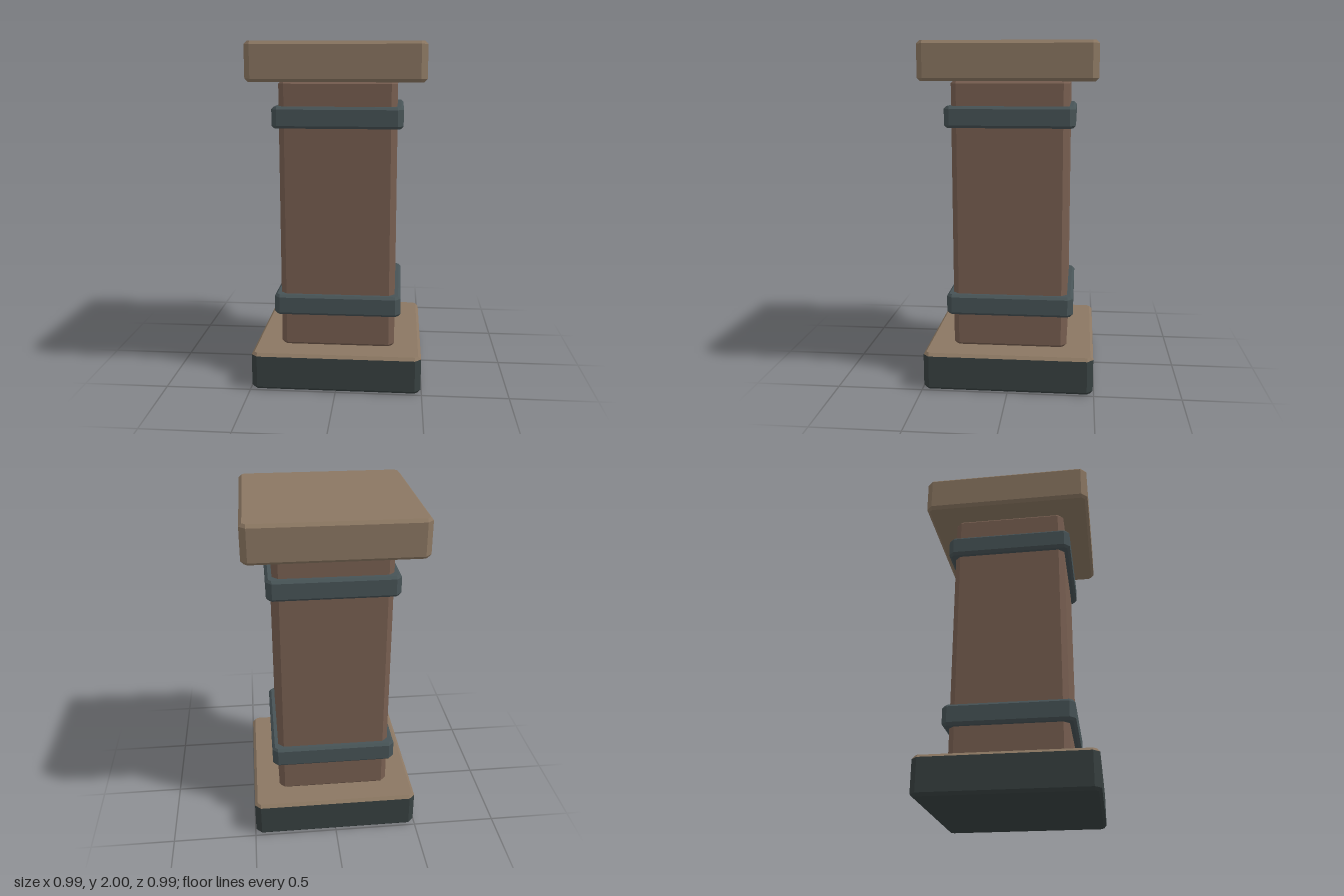
import * as THREE from 'three';

const BEVEL = 0.017;

// Square outline with cut corners; c is where each corner cut starts
function outline(h, c, y) {
  return [[c, h], [h, c], [h, -c], [c, -h], [-c, -h], [-h, -c], [-h, c], [-c, h]]
    .map(([x, z]) => [x, y, z]);
}

// Stack of outlines joined by flat walls, optionally closed below and above
function loft(rings, closeBottom, closeTop) {
  const pos = [];
  const tri = (a, b, c) => pos.push(...a, ...b, ...c);
  for (let r = 0; r < rings.length - 1; r++) {
    const lo = rings[r], hi = rings[r + 1];
    for (let i = 0; i < 8; i++) {
      const j = (i + 1) % 8;
      tri(lo[i], lo[j], hi[j]);
      tri(lo[i], hi[j], hi[i]);
    }
  }
  const bottom = rings[0], top = rings[rings.length - 1];
  for (let i = 1; i < 7; i++) {
    if (closeBottom) tri(bottom[0], bottom[i + 1], bottom[i]);
    if (closeTop) tri(top[0], top[i], top[i + 1]);
  }
  const geo = new THREE.BufferGeometry();
  geo.setAttribute('position', new THREE.Float32BufferAttribute(pos, 3));
  geo.computeVertexNormals();
  return geo;
}

// Four outlines of a block bevelled along every edge
function blockRings(half, cut, y0, y1, bevel = BEVEL) {
  const c = half - cut;
  return [
    outline(half - bevel, c, y0),
    outline(half, c, y0 + bevel),
    outline(half, c, y1 - bevel),
    outline(half - bevel, c, y1),
  ];
}

export function createModel() {
  const model = new THREE.Group();
  const mat = (color) => new THREE.MeshStandardMaterial({ color, flatShading: true });
  const tan = mat(0x8b7762), brown = mat(0x785f51), slate = mat(0x475356), dark = mat(0x384141);

  const add = (name, geo, material) => {
    const mesh = new THREE.Mesh(geo, material);
    mesh.name = name;
    model.add(mesh);
  };

  // Plinth: dark sides and underside, tan bevel and top
  const plinth = blockRings(0.495, 0.035, 0, 0.222);
  add('plinthBody', loft(plinth.slice(0, 3), true, false), dark);
  add('plinthTop', loft(plinth.slice(2), false, true), tan);

  // Shaft
  add('shaft', loft(blockRings(0.336, 0.033, 0.222, 1.783, 0.015), true, true), brown);

  // Bands around the shaft
  for (const [name, y] of [['lowerBand', 0.42], ['upperBand', 1.52]]) {
    add(name, loft(blockRings(0.372, 0.032, y, y + 0.122, 0.015), true, true), slate);
  }

  // Cap slab
  add('cap', loft(blockRings(0.495, 0.035, 1.783, 2), true, true), tan);

  return model;
}
